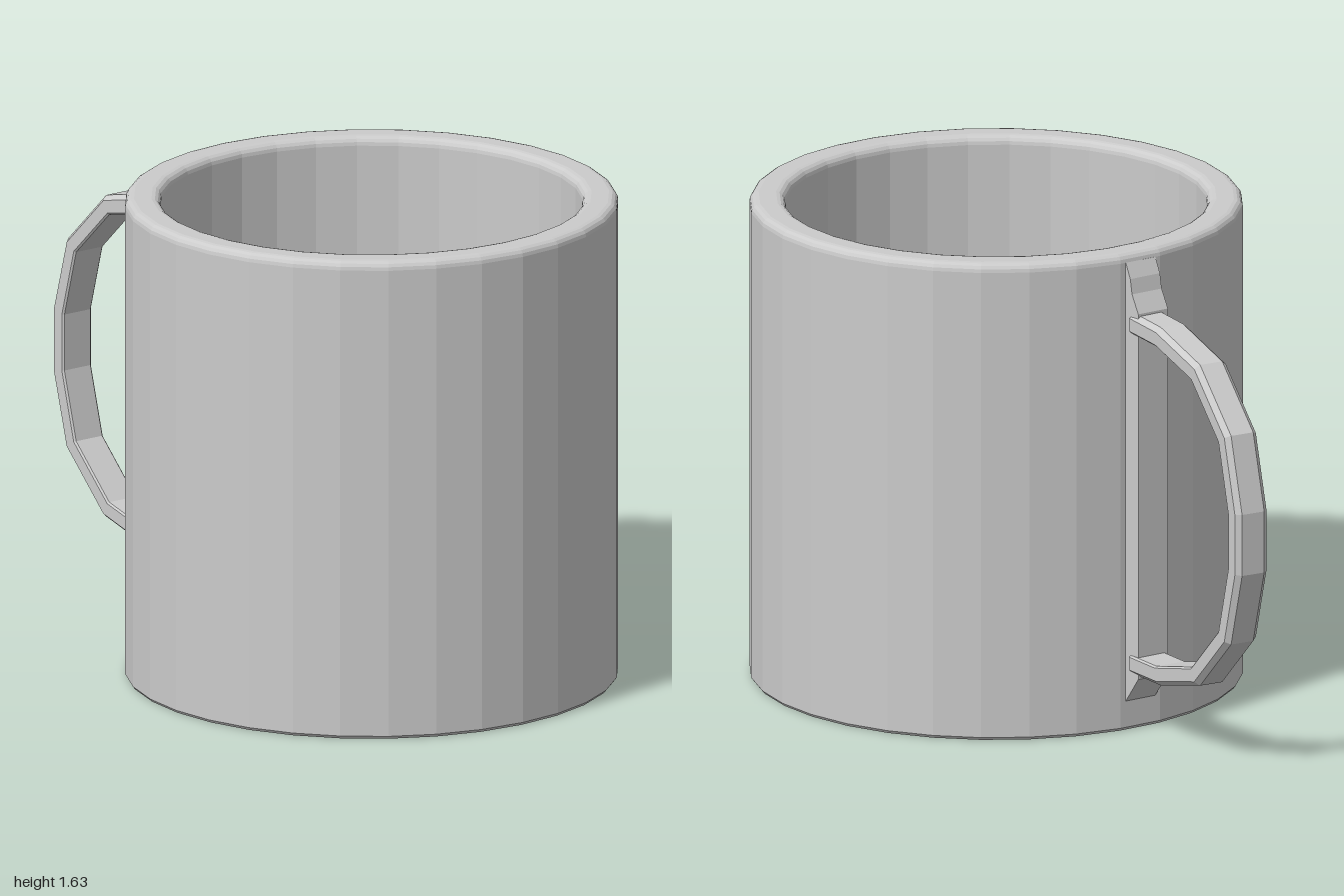
import * as THREE from 'three';

const material = new THREE.MeshStandardMaterial({ color: 0xcccccc, flatShading: true });
const SEGMENTS = 32;
const RADIUS = 0.8125;
const HEIGHT = 1.63;

function part(name, geometry) {
  const mesh = new THREE.Mesh(geometry, material);
  mesh.name = name;
  return mesh;
}

// Quarter-round points from one angle to another, as lathe profile points
function arc(cx, cy, r, from, to, steps = 4) {
  return Array.from({ length: steps + 1 }, (_, i) => {
    const a = from + ((to - from) * i) / steps;
    return new THREE.Vector2(cx + r * Math.cos(a), cy + r * Math.sin(a));
  });
}

// Sweep a section of [normal, width] points along a path lying in the xy plane
function sweep(path, section) {
  const positions = [];
  const index = [];
  const n = section.length;
  path.forEach((p, i) => {
    const dirIn = p.clone().sub(path[Math.max(i - 1, 0)]).normalize();
    const dirOut = path[Math.min(i + 1, path.length - 1)].clone().sub(p).normalize();
    const t = dirIn.add(dirOut).normalize();
    section.forEach(([out, w]) => positions.push(p.x - t.y * out, p.y + t.x * out, w));
    if (i === 0) return;
    for (let k = 0; k < n; k++) {
      const a = (i - 1) * n + k;
      const b = (i - 1) * n + ((k + 1) % n);
      index.push(a, b, a + n, b, b + n, a + n);
    }
  });
  const geometry = new THREE.BufferGeometry();
  geometry.setAttribute('position', new THREE.Float32BufferAttribute(positions, 3));
  geometry.setIndex(index);
  geometry.computeVertexNormals();
  return geometry;
}

export function createModel() {
  const model = new THREE.Group();
  model.name = 'mug';

  // Cup: recessed base, outer wall, rounded rim, inner wall and filleted floor
  const profile = [
    new THREE.Vector2(0, 0.02),
    new THREE.Vector2(0.745, 0.02),
    new THREE.Vector2(0.755, 0),
    new THREE.Vector2(0.805, 0),
    new THREE.Vector2(RADIUS, 0.01),
    ...arc(RADIUS - 0.03, HEIGHT - 0.03, 0.03, 0, Math.PI / 2),
    ...arc(0.725, HEIGHT - 0.03, 0.03, Math.PI / 2, Math.PI),
    ...arc(0.645, 0.16, 0.05, 0, -Math.PI / 2),
    new THREE.Vector2(0, 0.11),
  ];
  const cup = part('cup', new THREE.LatheGeometry(profile, SEGMENTS));
  cup.position.set(0.186, 0, 0.1325);
  model.add(cup);

  // Mounting strip on one wall facet, tapering into the wall at both ends
  const stripShape = new THREE.Shape(
    [[-0.02, 0.08], [0, 0.1], [0.07, 0.19], [0.07, 1.44], [0.035, 1.5], [0.025, 1.55], [0, 1.6], [-0.02, 1.6]]
      .map(([x, y]) => new THREE.Vector2(x, y)),
  );
  const stripGeometry = new THREE.ExtrudeGeometry(stripShape, { depth: 0.12, bevelEnabled: false });
  stripGeometry.translate(0, 0, -0.06);
  const strip = part('handleStrip', stripGeometry);
  const facet = 3.5 * ((2 * Math.PI) / SEGMENTS);
  strip.position.set(-0.44, 0, -0.38);
  strip.rotation.y = Math.PI - facet;
  model.add(strip);

  // Handle: upper half of the loop, mirrored about its middle height
  const upper = [[0.03, 1.4], [0.2, 1.395], [0.445, 1.335], [0.635, 1.155], [0.7025, 0.915]];
  const lower = upper.map(([x, y]) => [x, 1.63 - y]).reverse();
  const path = [...upper, ...lower].map(([x, y]) => new THREE.Vector2(x, y));
  const section = [
    [0.033, -0.042], [0.033, 0.042], [0.017, 0.06], [-0.027, 0.06],
    [-0.033, 0.054], [-0.033, -0.054], [-0.027, -0.06], [0.017, -0.06],
  ];
  const handle = part('handle', sweep(path, section));
  handle.position.set(-0.441, 0, -0.384);
  handle.rotation.y = (3 * Math.PI) / 4;
  model.add(handle);

  return model;
}
